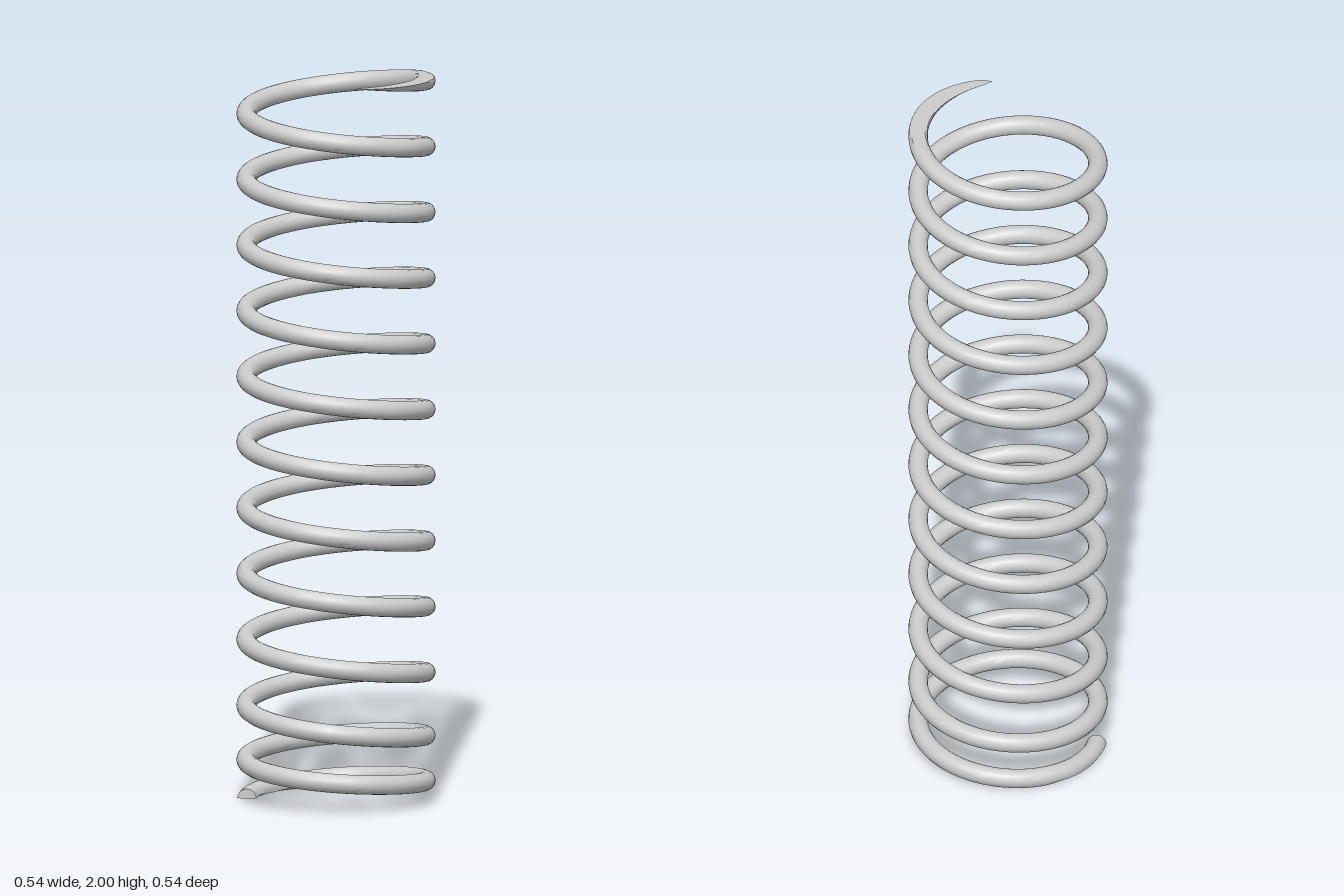
import * as THREE from 'three';
import { ParametricGeometry } from 'three/addons/geometries/ParametricGeometry.js';
import { toCreasedNormals } from 'three/addons/utils/BufferGeometryUtils.js';

const COIL = 0.2455;          // radius of the helix
const WIRE = 0.0265;          // radius of the wire
const HEIGHT = 2;             // ground-flat planes lie at 0 and HEIGHT
const START = 0.556, END = 12.2534; // in turns, measured from +x towards +z
const SIDES = 16, STEPS = 780;

// Height of the wire centre: tight first turn, easing into a constant pitch
function wireHeight(t) {
  const ease = THREE.MathUtils.clamp(t - 1.5, 0, 1);
  return 0.108 + 0.115 * (t - 1.5) + 0.0665 * (ease * ease / 2 + Math.max(t - 2.5, 0));
}

// Point on the wire surface; the round section is cut flat at both planes
function wirePoint(u, v, target) {
  const row = Math.round(v * STEPS);
  const t = THREE.MathUtils.lerp(START, END, Math.max(row - 1, 0) / (STEPS - 1));
  const y = wireHeight(t);
  const theta = u * Math.PI * 2;
  let out = WIRE * Math.cos(theta);
  let up = WIRE * Math.sin(theta);
  const cut = THREE.MathUtils.clamp(y + up, 0, HEIGHT) - y;
  if (cut !== up) {
    const chord = Math.sqrt(Math.max(WIRE * WIRE - cut * cut, 0));
    out = THREE.MathUtils.clamp(out, -chord, chord);
    up = cut;
  }
  // the first row collapses to a point, closing the blunt lower end
  if (row === 0) {
    out = 0;
    up = WIRE / 2;
  }
  const a = t * Math.PI * 2;
  target.set((COIL + out) * Math.cos(a), y + up, (COIL + out) * Math.sin(a));
}

export function createModel() {
  const group = new THREE.Group();
  group.name = 'coilSpring';

  // Single wire with blunt lower end and tapering ground upper end
  const geometry = toCreasedNormals(new ParametricGeometry(wirePoint, SIDES, STEPS), 0.6);
  const wire = new THREE.Mesh(geometry, new THREE.MeshStandardMaterial({ color: 0xcccccc }));
  wire.name = 'springWire';
  group.add(wire);

  return group;
}
